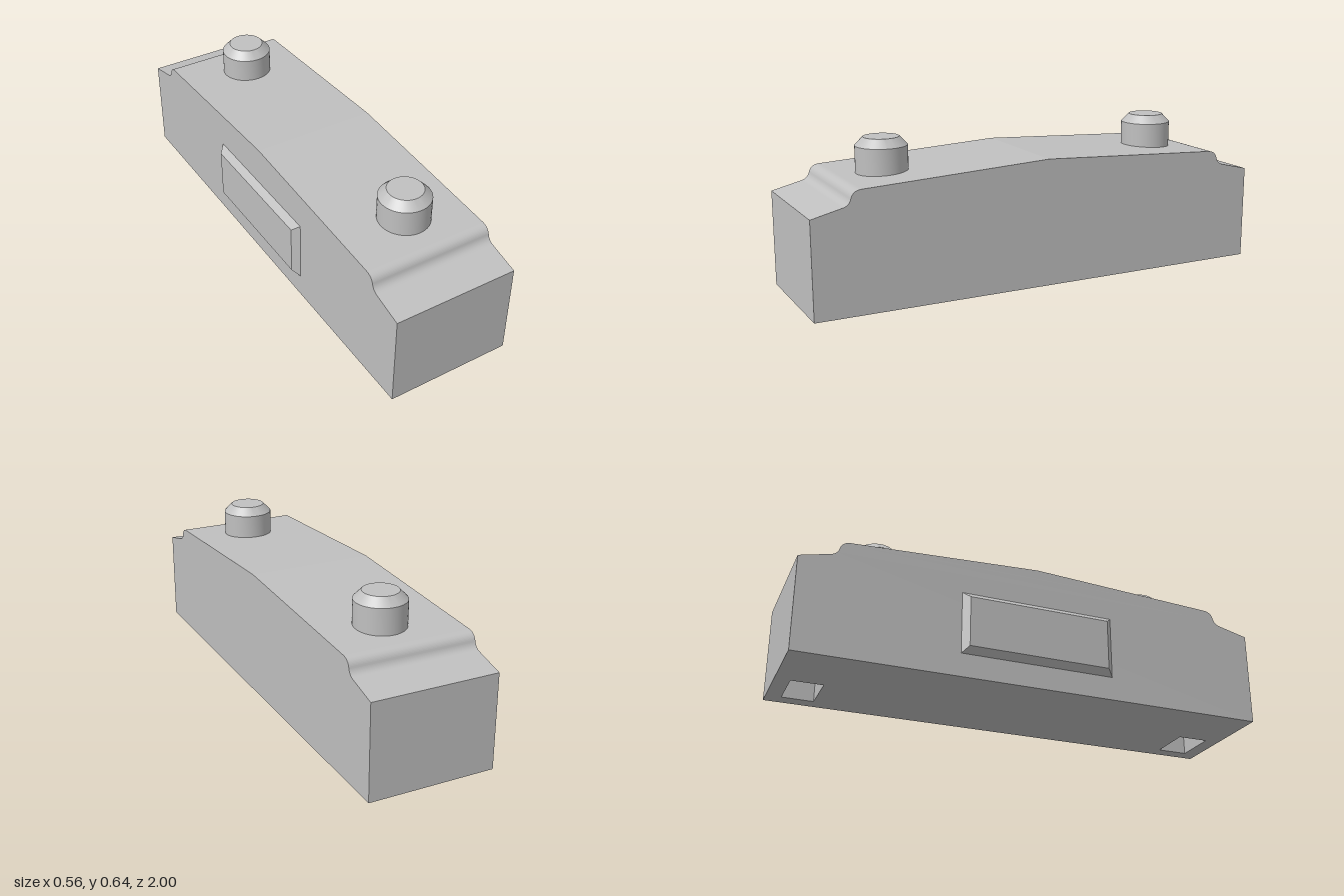
import * as THREE from 'three';
import { toCreasedNormals } from 'three/addons/utils/BufferGeometryUtils.js';

const X0 = -0.253, X1 = 0.28; // sides of the body
const POCKET = { x0: 0.033, x1: 0.22, z: 0.87, halfZ: 0.066, depth: 0.3 };

// Removes the triangles lying on y = 0 and returns a flat-shaded geometry
function withoutBottom(geometry) {
  const source = geometry.index ? geometry.toNonIndexed() : geometry;
  const p = source.attributes.position;
  const kept = [];
  for (let i = 0; i < p.count; i += 3) {
    if ([0, 1, 2].every((k) => Math.abs(p.getY(i + k)) < 1e-5)) continue;
    for (let k = 0; k < 3; k++) kept.push(p.getX(i + k), p.getY(i + k), p.getZ(i + k));
  }
  const result = new THREE.BufferGeometry();
  result.setAttribute('position', new THREE.Float32BufferAttribute(kept, 3));
  result.computeVertexNormals();
  return result;
}

// Side profile with a gentle peak and a rounded step at each end
function bodyGeometry() {
  const s = new THREE.Shape();
  s.moveTo(-1, 0);
  s.lineTo(1, 0);
  s.lineTo(1, 0.4);
  s.lineTo(0.872, 0.431);
  s.quadraticCurveTo(0.847, 0.437, 0.84, 0.462);
  s.quadraticCurveTo(0.832, 0.493, 0.797, 0.495);
  s.lineTo(0, 0.535);
  s.lineTo(-0.797, 0.495);
  s.quadraticCurveTo(-0.832, 0.493, -0.84, 0.462);
  s.quadraticCurveTo(-0.847, 0.437, -0.872, 0.431);
  s.lineTo(-1, 0.4);
  s.closePath();
  const g = new THREE.ExtrudeGeometry(s, { depth: X1 - X0, bevelEnabled: false, curveSegments: 12 });
  g.rotateY(Math.PI / 2).translate(X0, 0, 0);
  return withoutBottom(g);
}

// Underside with two rectangular openings
function undersideGeometry() {
  const rect = (path, x0, x1, z0, z1) =>
    path.moveTo(x0, z0).lineTo(x1, z0).lineTo(x1, z1).lineTo(x0, z1).closePath();
  const s = new THREE.Shape();
  rect(s, X0, X1, -1, 1);
  for (const side of [-1, 1]) {
    const hole = new THREE.Path();
    const z = side * POCKET.z;
    rect(hole, POCKET.x0, POCKET.x1, z - POCKET.halfZ, z + POCKET.halfZ);
    s.holes.push(hole);
  }
  return new THREE.ShapeGeometry(s).rotateX(Math.PI / 2);
}

// Inward-facing box, open at the bottom
function pocketGeometry() {
  const g = new THREE.BoxGeometry(POCKET.x1 - POCKET.x0, POCKET.depth, POCKET.halfZ * 2);
  g.scale(-1, 1, 1).translate((POCKET.x0 + POCKET.x1) / 2, POCKET.depth / 2, 0);
  return withoutBottom(g);
}

// Side plate whose outer face is drawn in to make the chamfer
function plateGeometry() {
  const g = new THREE.BoxGeometry(0.027, 0.267, 0.66).toNonIndexed();
  const p = g.attributes.position;
  for (let i = 0; i < p.count; i++) {
    if (p.getX(i) > 0) continue;
    p.setY(i, p.getY(i) - Math.sign(p.getY(i)) * 0.026);
    p.setZ(i, p.getZ(i) - Math.sign(p.getZ(i)) * 0.027);
  }
  g.computeVertexNormals();
  return g.translate(X0 - 0.0135, 0.2335, 0);
}

// Round peg with a chamfered top
function pegGeometry() {
  const points = [[0, 0.49], [0.106, 0.49], [0.106, 0.608], [0.073, 0.642], [0, 0.642]];
  const g = new THREE.LatheGeometry(points.map(([r, y]) => new THREE.Vector2(r, y)), 48);
  return toCreasedNormals(g, 0.5);
}

export function createModel() {
  const group = new THREE.Group();
  group.name = 'block';
  const grey = new THREE.MeshStandardMaterial({ color: 0xc0c0c0 });
  grey.name = 'grey';

  const add = (name, geometry, x = 0, z = 0) => {
    const mesh = new THREE.Mesh(geometry, grey);
    mesh.name = name;
    mesh.position.set(x, 0, z);
    group.add(mesh);
  };

  add('body', bodyGeometry());
  add('underside', undersideGeometry());
  add('sidePlate', plateGeometry());

  // Pegs and pockets, one at each end
  const peg = pegGeometry();
  const pocket = pocketGeometry();
  for (const [end, side] of [['front', 1], ['back', -1]]) {
    add(end + 'Peg', peg, 0.033, side * 0.625);
    add(end + 'Pocket', pocket, 0, side * POCKET.z);
  }
  return group;
}
